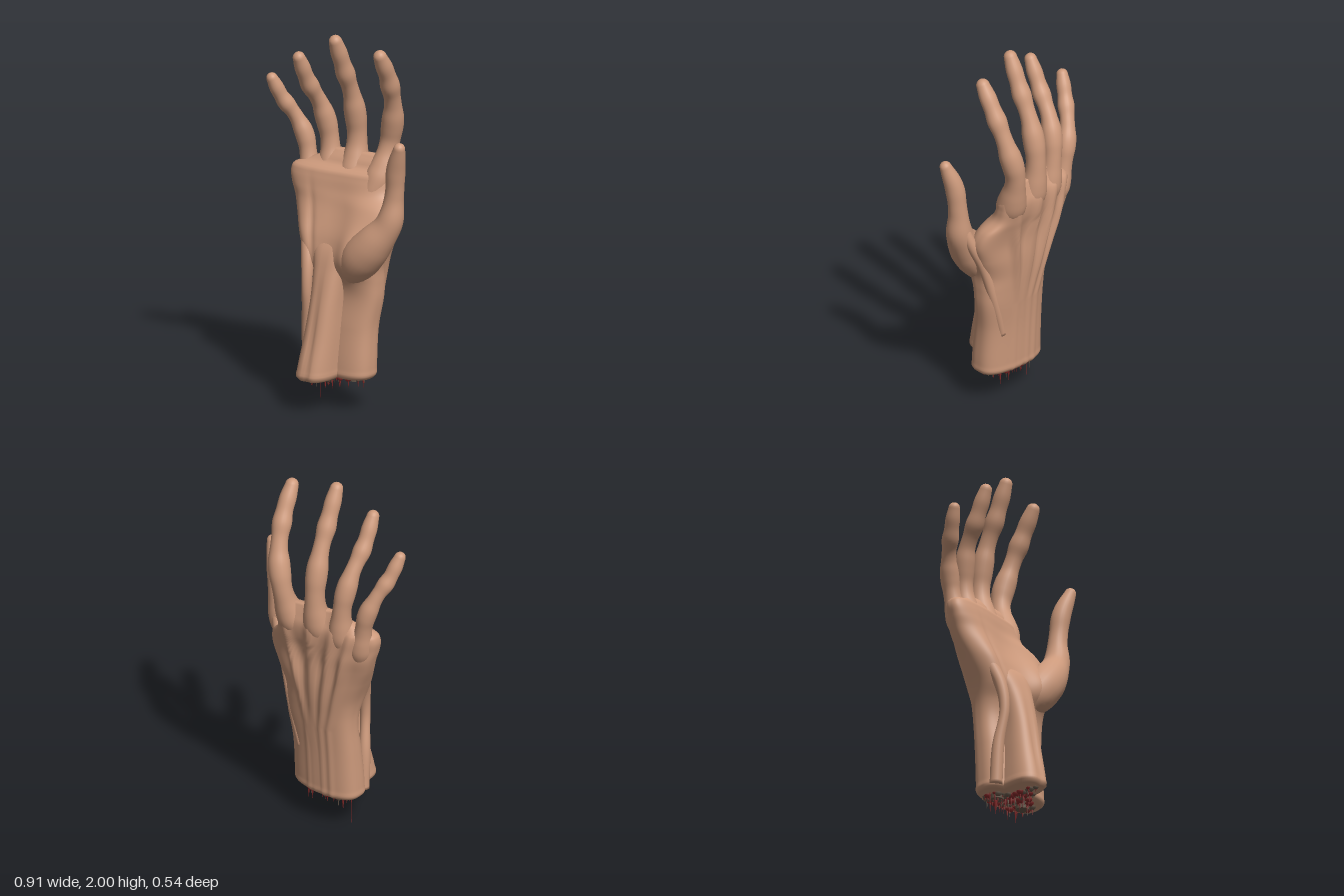
import * as THREE from 'three';

const skinMat = new THREE.MeshStandardMaterial({ color: 0xcd9a7c });
const fleshMat = new THREE.MeshStandardMaterial({ color: 0x8a2c2c });
const boneMat = new THREE.MeshStandardMaterial({ color: 0x6a5a4c });

// Smooth lookup through rows of [position, value, value, ...]
function table(rows) {
  const times = rows.map(r => r[0]);
  const values = new Float32Array(rows.flatMap(r => r.slice(1)));
  const cubic = new THREE.CubicInterpolant(times, values, rows[0].length - 1);
  return t => Array.from(cubic.evaluate(t));
}

// Closed surface through a list of rings, capped at both ends
function skinRings(rings) {
  const n = rings[0].length, index = [];
  const pts = rings.flat();
  for (let i = 0; i < rings.length - 1; i++) {
    for (let j = 0; j < n; j++) {
      const k = (j + 1) % n, a = i * n + j, b = i * n + k;
      index.push(a, a + n, b, b, a + n, b + n);
    }
  }
  for (const [ring, start, flip] of [[rings[0], 0, false], [rings.at(-1), (rings.length - 1) * n, true]]) {
    const c = pts.push(ring.reduce((s, p) => s.add(p), new THREE.Vector3()).divideScalar(n)) - 1;
    for (let j = 0; j < n; j++) {
      const a = start + j, b = start + (j + 1) % n;
      index.push(c, flip ? b : a, flip ? a : b);
    }
  }
  const geo = new THREE.BufferGeometry().setFromPoints(pts);
  geo.setIndex(index);
  geo.computeVertexNormals();
  return geo;
}

// Upright loft; rows are [y, xMin, xMax, zBack, zFront, tilt]
function loft(rows, steps, around, relief) {
  const at = table(rows), y0 = rows[0][0], y1 = rows.at(-1)[0], rings = [];
  const pow = v => Math.sign(v) * Math.abs(v) ** 0.75;
  for (let i = 0; i <= steps; i++) {
    const y = y0 + (y1 - y0) * i / steps;
    const [x0, x1, zb, zf, tilt] = at(y);
    const ring = [];
    for (let j = 0; j < around; j++) {
      const t = j / around * Math.PI * 2, u = pow(Math.cos(t)), v = pow(Math.sin(t));
      const x = (x0 + x1) / 2 + u * (x1 - x0) / 2;
      const z = (zb + zf) / 2 + v * (zf - zb) / 2 + tilt * u;
      ring.push(new THREE.Vector3(x, y, z + relief(x, y, v)));
    }
    rings.push(ring);
  }
  return skinRings(rings);
}

// Round limb along a curve with changing radius and a domed tip
function limb(points, radii, steps = 48, around = 24) {
  const curve = new THREE.CatmullRomCurve3(points.map(p => new THREE.Vector3(...p)));
  const frames = curve.computeFrenetFrames(steps);
  const radius = table(radii.map((r, i) => [i / (radii.length - 1), r]));
  const rings = [];
  const ring = (c, r, k) => rings.push(Array.from({ length: around }, (_, j) => {
    const t = j / around * Math.PI * 2;
    return c.clone().addScaledVector(frames.normals[k], r * Math.cos(t))
      .addScaledVector(frames.binormals[k], -r * Math.sin(t));
  }));
  for (let i = 0; i <= steps; i++) ring(curve.getPointAt(i / steps), radius(i / steps)[0], i);
  const end = curve.getPointAt(1), r = radii.at(-1);
  for (let i = 1; i <= 5; i++) {
    const a = i / 5.3 * Math.PI / 2;
    ring(end.clone().addScaledVector(frames.tangents[steps], r * Math.sin(a)), r * Math.cos(a), steps);
  }
  return skinRings(rings);
}

const bell = (d, w) => Math.exp(-((d / w) ** 2));

export function createModel() {
  const hand = new THREE.Group();
  hand.name = 'severedHand';
  const add = (name, geo, mat = skinMat) => {
    const mesh = new THREE.Mesh(geo, mat);
    mesh.name = name;
    hand.add(mesh);
    return mesh;
  };

  // Back: tendon ridges fanning to the knuckles. Front: pads and creases of the palm
  const knuckles = [[0.06, 0.145], [0.02, -0.03], [-0.03, -0.165], [-0.08, -0.265]];
  const relief = (x, y, v) => {
    if (v > 0) {
      const heel = 0.04 * bell(x + 0.2 + (y - 0.9) * 0.25, 0.075) * bell(y - 0.9, 0.17);
      const thumbBase = 0.05 * bell(x - 0.14, 0.08) * bell(y - 0.86, 0.12);
      const hollow = 0.02 * bell(x + 0.01, 0.1) * bell(y - 1.05, 0.12);
      const crease = 0.012 * bell(x + 0.13 + (y - 0.9) * 0.25, 0.018) * bell(y - 0.95, 0.17);
      return v * (heel + thumbBase - hollow - crease);
    }
    const k = THREE.MathUtils.clamp((y - 0.6) / 0.65, 0, 1);
    const dip = 0.018 * bell(y - 0.99, 0.1);
    const rise = 0.006 + 0.016 * THREE.MathUtils.smoothstep(y, 0.55, 0.9) + dip;
    let z = dip * 0.7;
    for (const [a, b] of knuckles) z -= rise * bell(x - a - (b - a) * k, 0.016 + 0.018 * k);
    return z * -v;
  };
  add('forearmAndPalm', loft([
    [0.18, -0.175, 0.2, -0.085, 0.1, 0],
    [0.195, -0.188, 0.215, -0.098, 0.115, 0],
    [0.23, -0.188, 0.217, -0.1, 0.115, 0],
    [0.45, -0.182, 0.218, -0.113, 0.092, 0],
    [0.62, -0.178, 0.24, -0.13, 0.07, 0],
    [0.7, -0.185, 0.243, -0.138, 0.08, 0],
    [0.78, -0.205, 0.248, -0.147, 0.105, 0],
    [0.9, -0.255, 0.285, -0.16, 0.08, -0.01],
    [1.0, -0.3, 0.31, -0.17, 0.048, -0.015],
    [1.08, -0.33, 0.285, -0.178, 0.02, -0.025],
    [1.14, -0.348, 0.225, -0.183, 0, -0.045],
    [1.21, -0.357, 0.212, -0.187, -0.02, -0.055],
    [1.24, -0.34, 0.212, -0.185, -0.035, -0.055],
    [1.262, -0.285, 0.208, -0.182, -0.075, -0.05],
    [1.3, -0.205, 0.195, -0.177, -0.105, -0.04],
    [1.335, -0.155, 0.16, -0.167, -0.135, -0.03],
  ], 110, 132, relief));

  // Flexor bundle standing proud of the inner forearm
  add('flexorTendons', loft([
    [0.18, -0.105, 0.06, 0, 0.26, 0],
    [0.195, -0.119, 0.073, 0, 0.272, 0],
    [0.23, -0.116, 0.074, 0, 0.267, 0],
    [0.4, -0.1, 0.077, 0, 0.226, 0],
    [0.6, -0.087, 0.078, 0, 0.182, 0],
    [0.75, -0.1, 0.085, -0.03, 0.143, 0],
    [0.86, -0.13, 0.1, -0.05, 0.1, 0],
    [0.96, -0.13, 0.09, -0.07, 0.025, 0],
  ], 50, 56, (x, y, v) => v > 0 ? -0.012 * bell(x + 0.01, 0.015) * bell(y - 0.35, 0.3) : 0));
  add('outerWristTendon', limb(
    [[-0.15, 0.2, 0.075], [-0.148, 0.42, 0.09], [-0.13, 0.62, 0.118], [-0.14, 0.76, 0.1], [-0.185, 0.92, 0.04]],
    [0.034, 0.032, 0.026, 0.032, 0.04]));

  // Thumb with its broad base muscle, and the tendon running to it over the wrist
  add('thumb', limb(
    [[0.1, 0.7, 0.03], [0.165, 0.82, 0.045], [0.255, 0.93, 0.04], [0.34, 1.06, 0.012],
      [0.362, 1.2, 0], [0.38, 1.35, 0.008], [0.422, 1.48, 0.03]],
    [0.04, 0.088, 0.106, 0.104, 0.092, 0.076, 0.066, 0.053, 0.049, 0.051, 0.045, 0.031]));
  add('thumbTendon', limb(
    [[0.13, 0.42, -0.085], [0.19, 0.65, -0.085], [0.245, 0.85, -0.07], [0.305, 0.99, -0.05], [0.355, 1.12, -0.02]],
    [0.02, 0.026, 0.028, 0.03, 0.03]));

  // Fingers, slightly curled towards the palm, swelling at the joints
  const fingers = {
    indexFinger: [1.04, [[0.11, 1.1, -0.1], [0.138, 1.26, -0.172], [0.156, 1.42, -0.211],
      [0.195, 1.6, -0.188], [0.22, 1.78, -0.12], [0.228, 1.92, -0.045]]],
    middleFinger: [1.02, [[-0.03, 1.1, -0.09], [-0.03, 1.26, -0.148], [-0.032, 1.42, -0.167],
      [-0.03, 1.62, -0.13], [-0.025, 1.8, -0.055], [-0.023, 1.965, 0.015]]],
    ringFinger: [0.96, [[-0.15, 1.08, -0.075], [-0.17, 1.24, -0.12], [-0.187, 1.4, -0.127],
      [-0.207, 1.56, -0.085], [-0.22, 1.7, 0], [-0.221, 1.85, 0.073]]],
    littleFinger: [0.88, [[-0.24, 1.04, -0.055], [-0.283, 1.2, -0.087], [-0.317, 1.36, -0.092],
      [-0.355, 1.47, -0.062], [-0.397, 1.58, 0], [-0.423, 1.69, 0.05]]],
  };
  const girth = [0.055, 0.068, 0.075, 0.066, 0.054, 0.051, 0.056, 0.055, 0.045, 0.043, 0.05, 0.043, 0.043, 0.034];
  for (const [name, [size, path]] of Object.entries(fingers)) {
    add(name, limb(path, girth.map(r => r * size), 60));
  }

  // Torn end: two bones, lumps of flesh and hanging shreds
  let seed = 7;
  const rand = () => (seed = (seed * 16807) % 2147483647) / 2147483647;
  for (const x of [-0.08, 0.1]) {
    const bone = add('cutBone', new THREE.CylinderGeometry(0.04, 0.035, 0.04, 14), boneMat);
    bone.position.set(x, 0.175, 0.01);
  }
  for (let i = 0; i < 75; i++) {
    const a = rand() * Math.PI * 2, d = Math.sqrt(rand());
    const bundle = i % 4 === 0;
    const x = bundle ? -0.025 + 0.07 * d * Math.cos(a) : 0.01 + 0.165 * d * Math.cos(a);
    const z = bundle ? 0.15 + 0.09 * d * Math.sin(a) : 0.01 + 0.085 * d * Math.sin(a);
    const lump = add('fleshLump', new THREE.SphereGeometry(0.012 + 0.012 * rand(), 8, 6), i % 3 ? fleshMat : boneMat);
    lump.position.set(x, 0.182, z);
    const length = 0.02 + 0.05 * rand() ** 2;
    const shred = add('fleshShred', new THREE.ConeGeometry(0.006, length, 5), i % 5 ? fleshMat : boneMat);
    shred.rotation.x = Math.PI;
    shred.position.set(x, 0.175 - length / 2, z);
  }
  for (const [x, z, r, tip] of [[-0.08, 0, 0.012, 0.075], [-0.13, 0.01, 0.003, 0], [0.11, -0.05, 0.008, 0.1]]) {
    const strand = add('longShred', new THREE.ConeGeometry(r, 0.18 - tip, 6), fleshMat);
    strand.rotation.x = Math.PI;
    strand.position.set(x, (0.18 + tip) / 2, z);
  }
  return hand;
}
